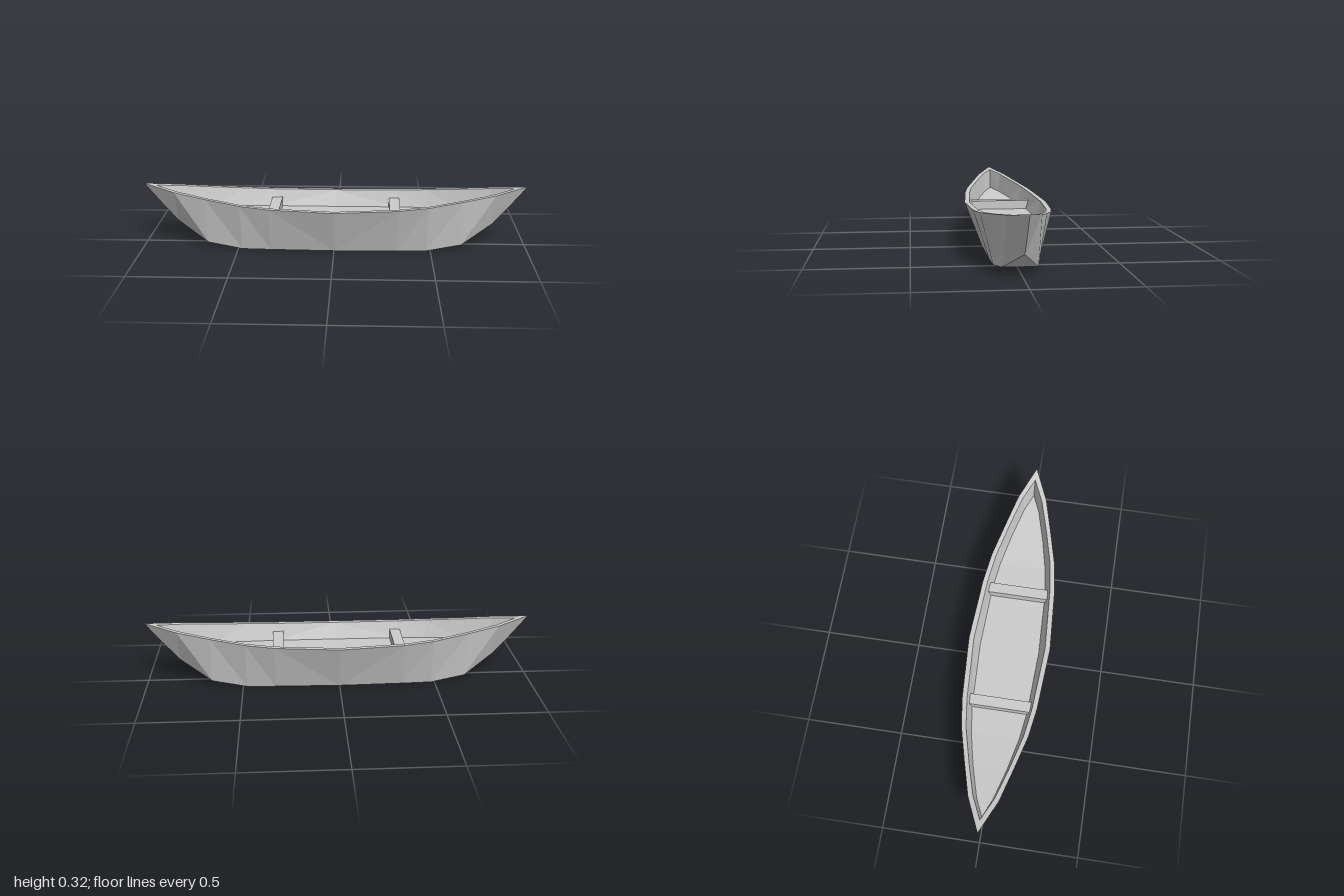
import * as THREE from 'three';

const material = new THREE.MeshStandardMaterial({ color: 0xcccccc, flatShading: true });

// Half of the boat, from the middle to the tip. Each point is [x, y, half width].
const half = [
  { keel: [0, 0, 0.123], rim: [0, 0.235, 0.213], inner: [0, 0.235, 0.187], floor: [0, 0.15, 0.156] },
  { keel: [0.33, 0, 0.115], rim: [0.33, 0.243, 0.192], inner: [0.33, 0.243, 0.167], floor: [0.33, 0.155, 0.143] },
  { keel: [0.48, 0, 0.108], rim: [0.48, 0.253, 0.17], inner: [0.48, 0.253, 0.146], floor: [0.48, 0.16, 0.123] },
  { keel: [0.66, 0.026, 0.085], rim: [0.66, 0.272, 0.123], inner: [0.66, 0.272, 0.1], floor: [0.65, 0.173, 0.085] },
  { keel: [0.83, 0.117, 0], rim: [0.83, 0.293, 0.076], inner: [0.82, 0.292, 0.053], floor: [0.81, 0.19, 0.04] },
  { keel: [0.91, 0.21, 0], rim: [1, 0.32, 0], inner: [0.935, 0.309, 0], floor: [0.9, 0.2, 0] },
];

// Mirror the stations along the length
const mirrorX = (s) => Object.fromEntries(Object.entries(s).map(([k, [x, y, z]]) => [k, [-x, y, z]]));
const stations = [...half.slice(1).reverse().map(mirrorX), ...half];

// Faceted strip of planking between two lengthwise lines, given as [line, side]
function strip(name, [lineA, sideA], [lineB, sideB]) {
  const at = (i, line, side) => {
    const [x, y, z] = stations[i][line];
    return new THREE.Vector3(x, y, z * side);
  };
  const points = [];
  const triangle = (a, b, c) => {
    const area = b.clone().sub(a).cross(c.clone().sub(a)).length();
    if (area > 1e-6) points.push(a, b, c);
  };
  const middle = (stations.length - 1) / 2;
  for (let i = 0; i < stations.length - 1; i++) {
    const a0 = at(i, lineA, sideA), a1 = at(i + 1, lineA, sideA);
    const b0 = at(i, lineB, sideB), b1 = at(i + 1, lineB, sideB);
    // The diagonal mirrors about the middle and turns over at the two tips
    const tip = i === 0 || i === stations.length - 2;
    let rising = (i >= middle) !== tip;
    if (sideA < 0 && sideB < 0) rising = !rising;
    if (rising) {
      triangle(a0, a1, b1);
      triangle(a0, b1, b0);
    } else {
      triangle(a0, a1, b0);
      triangle(a1, b1, b0);
    }
  }
  const geometry = new THREE.BufferGeometry().setFromPoints(points);
  geometry.computeVertexNormals();
  const mesh = new THREE.Mesh(geometry, material);
  mesh.name = name;
  return mesh;
}

export function createModel() {
  const boat = new THREE.Group();
  boat.name = 'rowingBoat';

  // Hull, walking round the cross-section
  const section = [
    ['keel', 1], ['rim', 1], ['inner', 1], ['floor', 1],
    ['floor', -1], ['inner', -1], ['rim', -1], ['keel', -1],
  ];
  const names = [
    'frontHullSide', 'frontGunwale', 'frontInnerWall', 'floor',
    'backInnerWall', 'backGunwale', 'backHullSide', 'bottom',
  ];
  names.forEach((name, k) => boat.add(strip(name, section[k], section[(k + 1) % section.length])));

  // Two bench seats
  for (const side of [-1, 1]) {
    const seat = new THREE.Mesh(new THREE.BoxGeometry(0.055, 0.052, 0.32), material);
    seat.name = side > 0 ? 'leftSeat' : 'rightSeat';
    seat.position.set(side * 0.315, 0.175, 0);
    boat.add(seat);
  }
  return boat;
}
